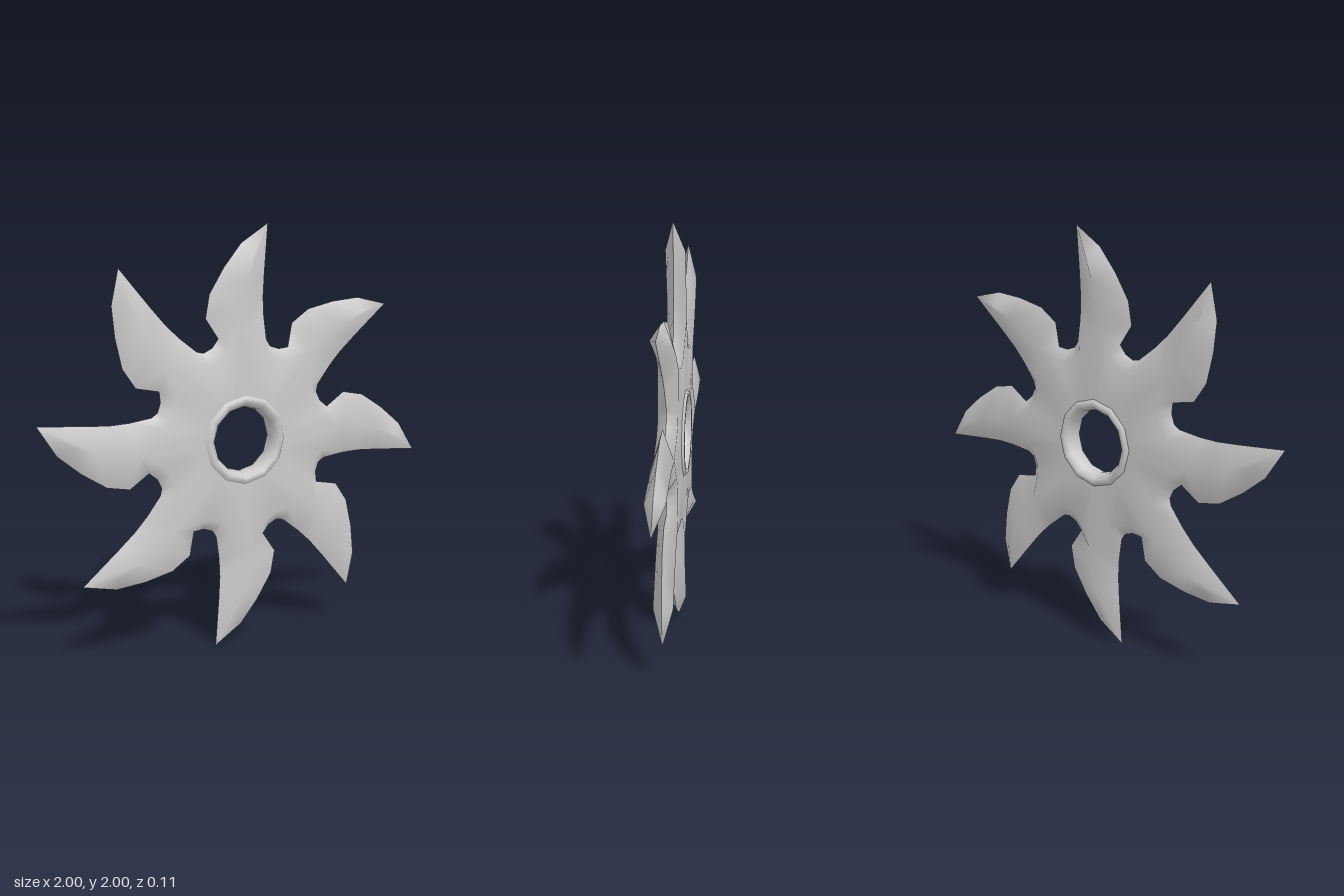
import * as THREE from 'three';
import { mergeVertices } from 'three/addons/utils/BufferGeometryUtils.js';

const BLADES = 8, HALF = 0.045;

// One sector: sharp rim point [x, y] and the ridge point it slopes up to
const A = [0.045, 0.86], B = [0.01, 0.75], C = [-0.02, 0.64], D = [-0.03, 0.53];
const sector = [
  { rim: [-0.12, 0.475], ridge: [-0.095, 0.42], hub: true },
  { rim: [-0.185, 0.57], ridge: D, hub: true },
  { rim: [-0.165, 0.68], ridge: C },
  { rim: [-0.09, 0.8], ridge: B },
  { rim: [0, 0.91], ridge: A },
  { rim: [0.14, 1.0], ridge: A },
  { rim: [0.122, 0.77], ridge: B },
  { rim: [0.116, 0.66], ridge: C },
  { rim: [0.12, 0.57], ridge: D },
  { rim: [0.135, 0.46], ridge: [0.085, 0.42], hub: true },
  { rim: [0.155, 0.43], ridge: [0.125, 0.385], hub: true },
  { rim: [0.2, 0.415], ridge: [0.175, 0.365], hub: true },
];

function turn([x, y], k) {
  const a = (-k * 2 * Math.PI) / BLADES;
  return [x * Math.cos(a) - y * Math.sin(a), x * Math.sin(a) + y * Math.cos(a)];
}

// Front (side = 1) or back (side = -1) face of the star
function starFace(side) {
  const pos = [];
  const tri = (a, b, c) => (side > 0 ? [a, b, c] : [a, c, b]).forEach(p => pos.push(p[0], p[1], p[2] * side));
  const strip = (outer, inner) => outer.forEach((p, i) => {
    const j = (i + 1) % outer.length;
    tri(p, inner[i], inner[j]);
    tri(p, inner[j], outer[j]);
  });
  const rim = [], ridge = [], edge = [], collar = [];
  for (let k = 0; k < BLADES; k++) {
    for (const s of sector) {
      const r = [...turn(s.ridge, k), HALF];
      rim.push([...turn(s.rim, k), 0]);
      ridge.push(r);
      if (s.hub) {
        const f = 0.195 / Math.hypot(r[0], r[1]);
        edge.push(r);
        collar.push([r[0] * f, r[1] * f, HALF]);
      }
    }
  }
  strip(rim, ridge);     // bevelled blades and notches
  strip(edge, collar);   // flat hub plate
  const g = new THREE.BufferGeometry();
  g.setAttribute('position', new THREE.Float32BufferAttribute(pos, 3));
  const merged = mergeVertices(g, 1e-4);
  merged.computeVertexNormals();
  return merged;
}

export function createModel() {
  const group = new THREE.Group();
  group.name = 'bladedStar';
  const mat = new THREE.MeshStandardMaterial({ color: 0xcccccc, side: THREE.DoubleSide });
  const add = (geo, name) => {
    const m = new THREE.Mesh(geo, mat);
    m.name = name;
    m.position.y = 1;
    group.add(m);
    return m;
  };

  add(starFace(1), 'frontFace');
  add(starFace(-1), 'backFace');

  // Raised collar lining the centre hole
  const half = [[0.215, 0.04], [0.2, 0.057], [0.178, 0.057], [0.16, 0.035]];
  const profile = [...half, [0.154, 0], ...half.map(([r, z]) => [r, -z]).reverse()]
    .map(([r, z]) => new THREE.Vector2(r, z)).reverse();
  const ring = add(new THREE.LatheGeometry(profile, 12), 'holeCollar');
  ring.rotation.x = Math.PI / 2;
  return group;
}
